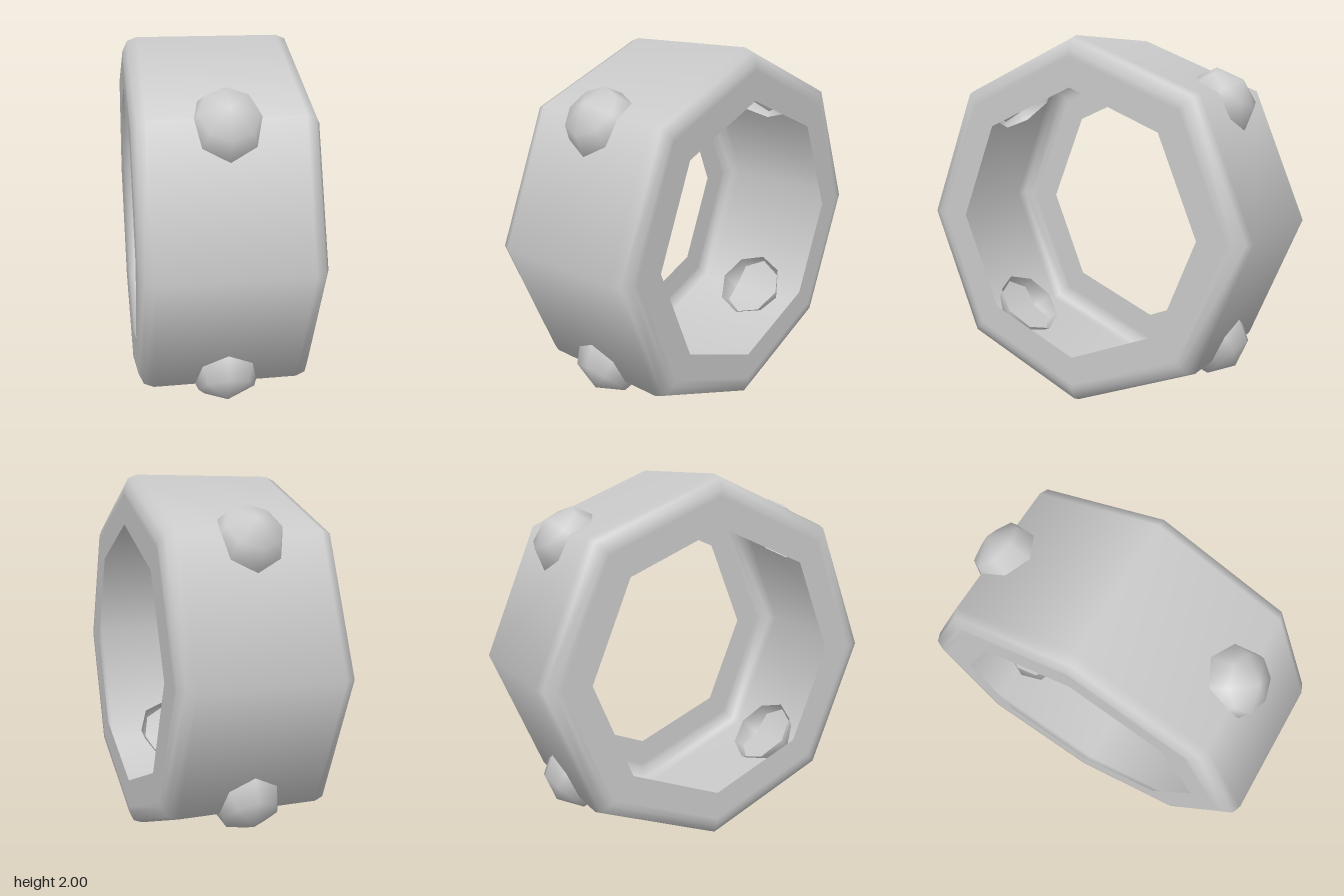
import * as THREE from 'three';

export function createModel() {
  const model = new THREE.Group();
  const material = new THREE.MeshStandardMaterial({ color: 0xcccccc, side: THREE.DoubleSide });

  // Hollow octagonal band: half profile as [radius, distance along the axis], mirrored
  const half = [[0.733, 0.455], [0.89, 0.455], [0.925, 0.455], [0.98, 0.43], [1, 0.38]];
  const profile = [
    ...half.map(([r, x]) => new THREE.Vector2(r, -x)),
    ...[...half].reverse().map(([r, x]) => new THREE.Vector2(r, x)),
  ];
  const band = new THREE.Mesh(new THREE.LatheGeometry(profile, 8), material);
  band.name = 'band';
  band.rotation.z = -Math.PI / 2;
  band.position.y = 1;
  model.add(band);

  // Four open domes pushed through alternate corners of the band
  const domeGeometry = new THREE.SphereGeometry(0.21, 8, 2, 0, Math.PI * 2, 0, Math.PI / 2);
  domeGeometry.translate(0, 0.885, 0);
  for (let i = 0; i < 4; i++) {
    const stud = new THREE.Mesh(domeGeometry, material);
    stud.name = `stud${i + 1}`;
    stud.position.y = 1;
    stud.rotation.x = Math.PI / 4 + (i * Math.PI) / 2;
    model.add(stud);
  }
  return model;
}
